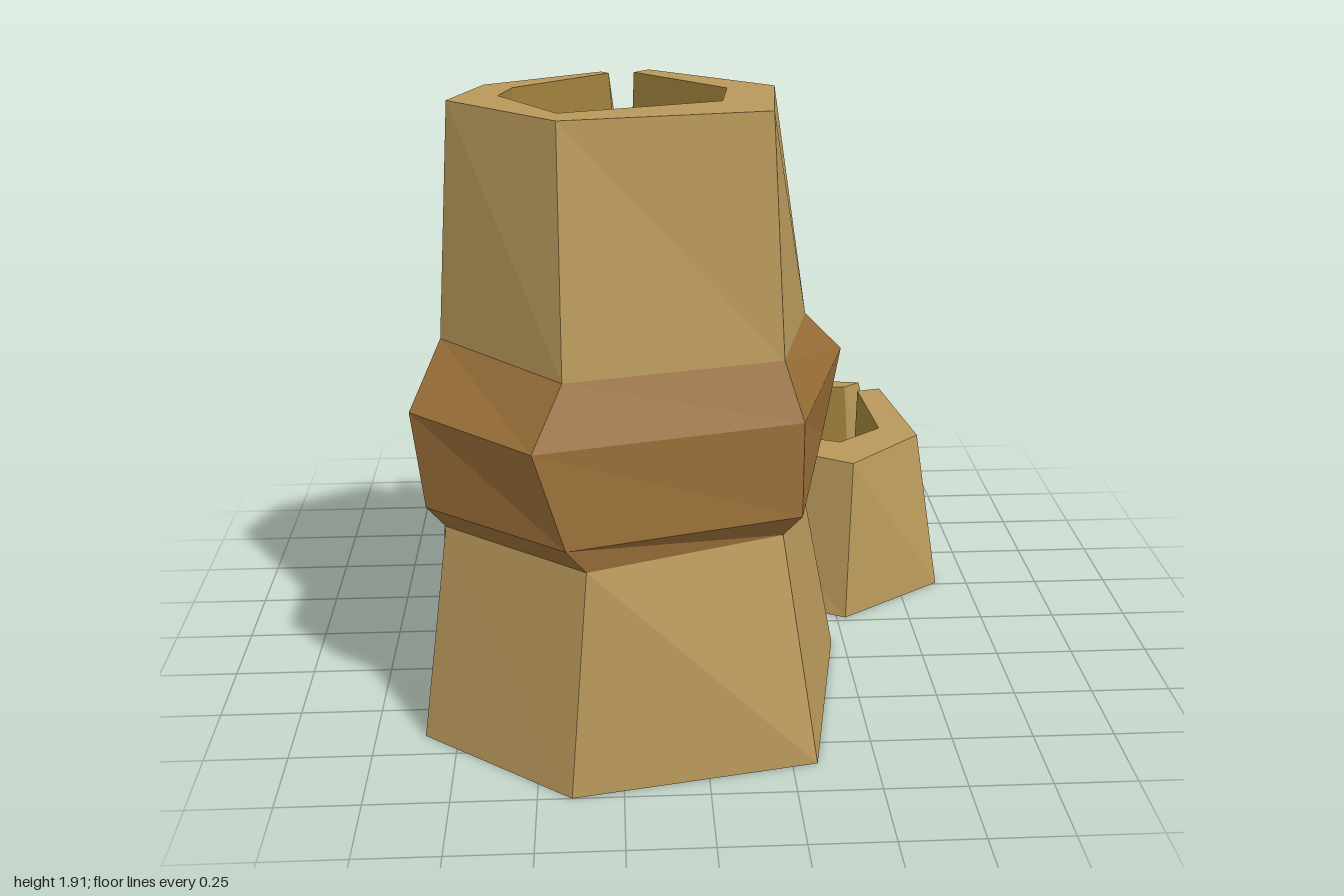
import * as THREE from 'three';

const TAN = 0xb8985a, BROWN = 0x9a6f38, GOLD = 0xa0823c;

// Flat-shaded mesh from a list of polygons (each a list of Vector3, fanned)
function facetMesh(name, color, polygons) {
  const points = [];
  for (const p of polygons)
    for (let i = 1; i < p.length - 1; i++) points.push(p[0], p[i], p[i + 1]);
  const geometry = new THREE.BufferGeometry().setFromPoints(points);
  geometry.computeVertexNormals();
  const material = new THREE.MeshStandardMaterial({ color, flatShading: true, side: THREE.DoubleSide });
  const mesh = new THREE.Mesh(geometry, material);
  mesh.name = name;
  return mesh;
}

const at = (loop, y) => loop.map(([x, z]) => new THREE.Vector3(x, y, z));

// Side walls between two rings
const band = (low, high) => low.map((p, i) => {
  const j = (i + 1) % low.length;
  return [low[j], high[j], high[i], p];
});

// The two points beside corner k that form the lips of a slit
function lips(ring, k, widths) {
  const n = ring.length;
  const slide = (q, w) => ring[k].clone().add(q.clone().sub(ring[k]).setLength(w));
  return [slide(ring[(k + n - 1) % n], widths[0]), slide(ring[(k + 1) % n], widths[1])];
}

// Double-walled pipe, open below, with a V-shaped slit running down corner k
function slitPipe({ name, base, rim, inner, y0, y1, floorY, k, wOut, wIn }) {
  const group = new THREE.Group();
  group.name = name;
  const n = base.length;
  const low = at(base, y0), top = at(rim, y1), inTop = at(inner, y1), inLow = at(inner, floorY);
  inLow[k].y = y0;
  const outLips = lips(top, k, wOut), inLips = lips(inTop, k, wIn);

  const shell = [], inside = [];
  for (let i = 0; i < n; i++) {
    const j = (i + 1) % n;
    // an edge that ends or starts at the slit uses one lip
    const a = i === k ? outLips[1] : top[i], b = j === k ? outLips[0] : top[j];
    const c = i === k ? inLips[1] : inTop[i], d = j === k ? inLips[0] : inTop[j];
    shell.push([low[j], b, a, low[i]], [a, b, d, c]);
    inside.push([inLow[j], inLow[i], c, d]);
  }
  // slit cheeks
  shell.push([outLips[0], low[k], inLow[k], inLips[0]]);
  shell.push([low[k], outLips[1], inLips[1], inLow[k]]);
  // floor, with the piece below the slit
  inside.push(inLow.filter((_, i) => i !== k));
  inside.push([inLow[(k + n - 1) % n], inLow[k], inLow[(k + 1) % n]]);

  group.add(facetMesh(name + 'Shell', TAN, shell), facetMesh(name + 'Interior', GOLD, inside));
  return group;
}

export function createModel() {
  const model = new THREE.Group();
  model.name = 'chimneyCluster';

  // Tall chimney: flared open foot, brown collar, slit upper pipe
  const foot = [[-0.4, 1], [0.325, 0.86], [0.46, 0.14], [-0.175, -0.2], [-0.7, 0.04], [-0.85, 0.65]];
  const neck = [[-0.345, 0.92], [0.225, 0.71], [0.325, 0.245], [-0.175, -0.15], [-0.65, 0.1], [-0.76, 0.6]];
  const collarLow = [[-0.4, 0.95], [0.275, 0.76], [0.41, 0.14], [-0.175, -0.205], [-0.7, 0.04], [-0.81, 0.64]];
  const collarHigh = [[-0.485, 0.95], [0.275, 0.76], [0.46, 0.14], [-0.175, -0.205], [-0.705, 0.035], [-0.845, 0.62]];
  const shoulder = [[-0.4, 0.86], [0.22, 0.71], [0.325, 0.295], [-0.175, -0.1], [-0.62, 0.13], [-0.76, 0.47]];

  const neckRing = at(neck, 0.68);
  model.add(facetMesh('towerFoot', TAN, band(at(foot, 0), neckRing)));

  const collar = [neckRing, at(collarLow, 0.76), at(collarHigh, 1.05), at(shoulder, 1.22)];
  model.add(facetMesh('towerCollar', BROWN, collar.slice(1).flatMap((r, i) => band(collar[i], r))));

  model.add(slitPipe({
    name: 'towerPipe', base: shoulder, y0: 1.22, y1: 1.915, floorY: 0.68, k: 3,
    wOut: [0.05, 0.12], wIn: [0.04, 0.06],
    rim: [[-0.4, 0.755], [0.185, 0.655], [0.22, 0.295], [-0.175, -0.01], [-0.62, 0.24], [-0.71, 0.465]],
    inner: [[-0.4, 0.655], [0.055, 0.51], [0.08, 0.325], [-0.21, 0.035], [-0.535, 0.29], [-0.57, 0.405]],
  }));

  // Wide low chimney
  model.add(slitPipe({
    name: 'wideChimney', y0: 0, y1: 0.55, floorY: 0, k: 2, wOut: [0.06, 0.06], wIn: [0.04, 0.04],
    base: [[0.53, -0.02], [0.89, -0.26], [0.79, -0.88], [0.275, -1], [-0.085, -0.815], [-0.055, -0.32]],
    rim: [[0.55, -0.09], [0.81, -0.33], [0.74, -0.85], [0.205, -0.935], [-0.02, -0.825], [0.015, -0.405]],
    inner: [[0.53, -0.28], [0.685, -0.4], [0.66, -0.81], [0.24, -0.835], [0.12, -0.765], [0.085, -0.47]],
  }));

  // Narrow chimney
  model.add(slitPipe({
    name: 'narrowChimney', y0: 0, y1: 0.76, floorY: 0, k: 3, wOut: [0.05, 0.05], wIn: [0.03, 0.03],
    base: [[-0.605, -0.2], [-0.335, -0.5], [-0.4, -0.78], [-0.72, -0.86], [-0.895, -0.555], [-0.86, -0.28]],
    rim: [[-0.63, -0.245], [-0.39, -0.51], [-0.445, -0.745], [-0.69, -0.79], [-0.86, -0.515], [-0.865, -0.33]],
    inner: [[-0.655, -0.31], [-0.465, -0.54], [-0.52, -0.68], [-0.7, -0.75], [-0.79, -0.53], [-0.81, -0.46]],
  }));

  return model;
}
